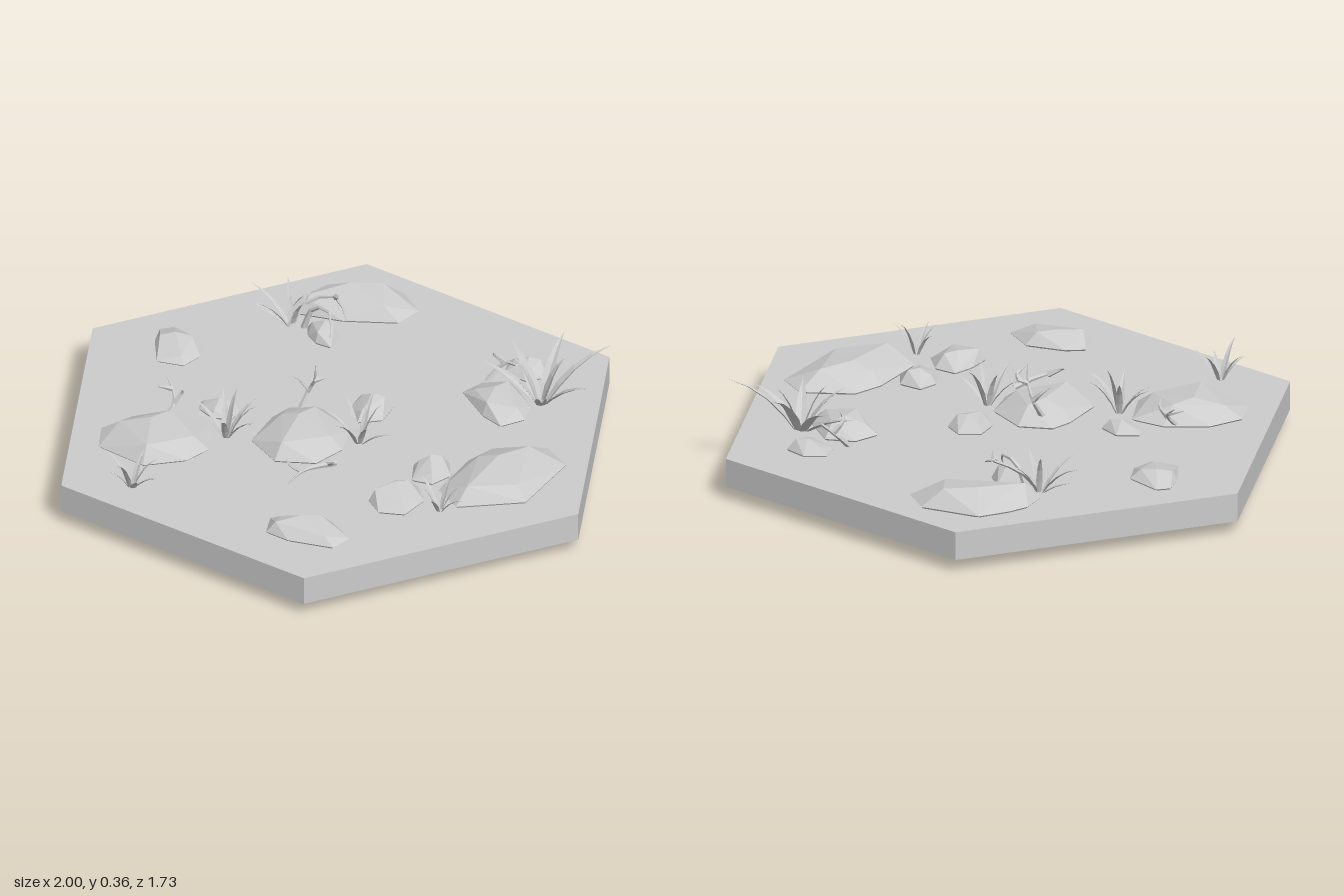
import * as THREE from 'three';
import { ConvexGeometry } from 'three/addons/geometries/ConvexGeometry.js';

const GROUND = 0.145;
const material = new THREE.MeshStandardMaterial({ color: 0xcccccc, flatShading: true, side: THREE.DoubleSide });

function add(parent, name, geometry) {
  const mesh = new THREE.Mesh(geometry, material);
  mesh.name = name;
  parent.add(mesh);
  return mesh;
}

// Faceted stone: outline [x, z, x, z, ...] at ground level, closed by smaller rings and points above and below
function rock(parent, name, top, bottom, outline) {
  const ring = [];
  for (let i = 0; i < outline.length; i += 2) ring.push(new THREE.Vector3(outline[i], GROUND + 0.006, outline[i + 1]));
  const centre = new THREE.Vector3();
  ring.forEach((p) => centre.addScaledVector(p, 1 / ring.length));
  const points = [];
  const level = (p, scale, y) => {
    const q = centre.clone().lerp(p, scale);
    q.y = y;
    points.push(q);
  };
  ring.forEach((p, i) => {
    points.push(p);
    if (i % 2 === 0) {
      level(p, 0.68 + 0.08 * Math.sin(i * 2.3), top - 0.014 - 0.008 * Math.cos(i * 1.7));
      level(p, 0.62, THREE.MathUtils.lerp(GROUND, bottom, 0.7));
    }
  });
  level(ring[1], 0.25, top);
  level(ring[ring.length - 2], 0.2, bottom);
  add(parent, name, new ConvexGeometry(points));
}

// Arched, keeled leaf from a base point to a tip
function blade(base, tip, width) {
  const control = base.clone().lerp(tip, 0.4);
  control.y = THREE.MathUtils.lerp(base.y, tip.y, 0.8);
  const curve = new THREE.QuadraticBezierCurve3(base, control, tip);
  const side = new THREE.Vector3(tip.z - base.z, 0, base.x - tip.x).normalize();
  const widths = [0.55, 1, 0.8, 0.45, 0.02];
  const pos = [], index = [];
  widths.forEach((w, i) => {
    const p = curve.getPoint(i / (widths.length - 1));
    for (const s of [-1, 0, 1]) {
      const q = p.clone().addScaledVector(side, s * w * width / 2);
      if (s === 0) q.y -= w * width * 0.25;
      pos.push(q.x, q.y, q.z);
    }
    if (i === 0) return;
    for (let k = 0; k < 2; k++) {
      const a = (i - 1) * 3 + k, b = i * 3 + k;
      index.push(a, a + 1, b, a + 1, b + 1, b);
    }
  });
  const geometry = new THREE.BufferGeometry();
  geometry.setAttribute('position', new THREE.Float32BufferAttribute(pos, 3));
  geometry.setIndex(index);
  geometry.computeVertexNormals();
  return geometry;
}

// Tuft of leaves; each tip is [x, y, z]
function tuft(parent, name, x, z, width, tips) {
  const group = new THREE.Group();
  group.name = name;
  tips.forEach(([tx, ty, tz]) => {
    const base = new THREE.Vector3(x, GROUND - 0.01, z).lerp(new THREE.Vector3(tx, GROUND - 0.01, tz), 0.06);
    add(group, 'leaf', blade(base, new THREE.Vector3(tx, ty, tz), width));
  });
  parent.add(group);
}

// Tapered bent stick, one path per branch
function twig(parent, name, radius, ...paths) {
  const group = new THREE.Group();
  group.name = name;
  paths.forEach((path) => {
    const curve = new THREE.CatmullRomCurve3(path.map((p) => new THREE.Vector3(...p)));
    const segments = 6, sides = 5;
    const geometry = new THREE.TubeGeometry(curve, segments, radius, sides);
    const p = geometry.attributes.position, v = new THREE.Vector3();
    for (let i = 0; i < p.count; i++) {
      const t = Math.floor(i / (sides + 1)) / segments;
      v.fromBufferAttribute(p, i).lerp(curve.getPointAt(t), t * 0.85);
      p.setXYZ(i, v.x, v.y, v.z);
    }
    geometry.computeVertexNormals();
    add(group, 'branch', geometry);
  });
  parent.add(group);
}

export function createModel() {
  const model = new THREE.Group();
  model.name = 'rockyGroundTile';

  // Hexagonal tile, open underneath
  const tile = new THREE.Group();
  tile.name = 'groundTile';
  add(tile, 'tileWalls', new THREE.CylinderGeometry(1, 1, 0.1, 6, 1, true, Math.PI / 2)).position.y = GROUND - 0.05;
  add(tile, 'tileTop', new THREE.CircleGeometry(1, 6).rotateX(-Math.PI / 2)).position.y = GROUND;
  model.add(tile);

  // Large stones
  const rocks = new THREE.Group();
  rocks.name = 'rocks';
  model.add(rocks);
  rock(rocks, 'backLeftRock', 0.215, 0.055, [-.53, -.62, -.48, -.72, -.28, -.78, -.18, -.72, -.19, -.62, -.35, -.52, -.53, -.46, -.55, -.55]);
  rock(rocks, 'backRightRock', 0.2, 0.06, [.24, -.39, .26, -.48, .35, -.53, .48, -.45, .51, -.37, .47, -.29, .38, -.31]);
  rock(rocks, 'rightRock', 0.212, 0.0, [.51, -.05, .53, -.16, .68, -.27, .79, -.22, .82, .05, .78, .08, .65, .21, .54, .16]);
  rock(rocks, 'centreRock', 0.208, 0.013, [-.18, .11, -.17, .03, -.07, -.03, .08, .02, .13, .14, .11, .26, -.01, .33, -.15, .27]);
  rock(rocks, 'frontLeftRock', 0.212, 0.05, [-.6, .5, -.56, .38, -.44, .28, -.32, .26, -.23, .4, -.25, .5, -.35, .61, -.54, .6]);
  rock(rocks, 'frontRightRock', 0.197, 0.085, [.19, .63, .24, .58, .37, .53, .48, .58, .47, .66, .32, .71, .23, .71]);
  rock(rocks, 'leftRock', 0.188, 0.09, [-.81, -.12, -.78, -.16, -.65, -.14, -.6, -.06, -.61, .02, -.7, .05, -.78, -.05]);

  // Small stones
  rock(rocks, 'smallBackRightRock', 0.195, 0.09, [.25, -.64, .31, -.69, .39, -.68, .41, -.63, .37, -.57, .28, -.57]);
  rock(rocks, 'smallBackLeftRock', 0.205, 0.1, [-.42, -.42, -.35, -.47, -.29, -.43, -.28, -.36, -.34, -.355, -.39, -.38]);
  rock(rocks, 'smallCentreRock', 0.2, 0.08, [-.02, -.16, .04, -.21, .11, -.18, .13, -.09, .07, -.03, 0, -.08]);
  rock(rocks, 'smallLeftRock', 0.19, 0.09, [-.43, .17, -.37, .12, -.29, .14, -.28, .2, -.34, .23, -.41, .21]);
  rock(rocks, 'smallRightRock', 0.2, 0.08, [.38, .08, .39, .01, .47, 0, .52, .06, .5, .14, .43, .16]);
  rock(rocks, 'smallRightFrontRock', 0.2, 0.07, [.38, .27, .39, .19, .47, .18, .54, .24, .54, .35, .46, .39, .39, .35]);

  // Leaf tufts
  const plants = new THREE.Group();
  plants.name = 'plants';
  model.add(plants);
  tuft(plants, 'backRightTuft', .48, -.5, .042, [[.44, .31, -.69], [.64, .335, -.68], [.67, .26, -.51], [.59, .25, -.36],
    [.29, .27, -.6], [.4, .31, -.46], [.53, .3, -.57], [.37, .29, -.4], [.25, .23, -.49]]);
  tuft(plants, 'backLeftTuft', -.48, -.41, .022, [[-.64, .26, -.4], [-.58, .23, -.33], [-.55, .27, -.28], [-.53, .29, -.46],
    [-.4, .27, -.37], [-.45, .25, -.5], [-.59, .19, -.37]]);
  tuft(plants, 'centreTuft', .14, .06, .022, [[.28, .22, .06], [.13, .3, -.05], [.23, .26, .13], [.03, .25, .1],
    [.14, .27, .19], [.2, .29, .01], [.07, .28, .03]]);
  tuft(plants, 'frontLeftTuft', -.24, .29, .024, [[-.36, .25, .3], [-.3, .28, .22], [-.23, .31, .24], [-.11, .25, .31],
    [-.18, .27, .2], [-.19, .26, .38], [-.32, .24, .35], [-.14, .28, .25]]);
  tuft(plants, 'rightTuft', .61, .25, .018, [[.71, .22, .26], [.62, .27, .18], [.52, .24, .23], [.63, .23, .34],
    [.56, .25, .3], [.68, .25, .21]]);
  tuft(plants, 'frontTuft', -.31, .73, .022, [[-.31, .25, .65], [-.19, .22, .74], [-.4, .25, .74], [-.24, .25, .68],
    [-.3, .27, .82], [-.36, .22, .8], [-.23, .21, .79]]);

  // Dry twigs
  const twigs = new THREE.Group();
  twigs.name = 'twigs';
  model.add(twigs);
  twig(twigs, 'frontTwig', .011, [[.16, .15, .22], [.14, .165, .29], [.12, .17, .35], [.12, .16, .44]],
    [[.12, .168, .35], [.08, .19, .37], [.06, .2, .36]], [[.15, .16, .25], [.18, .18, .26], [.175, .2, .3]]);
  twig(twigs, 'centreTwig', .011, [[-.11, .17, .05], [-.1, .24, .01], [-.07, .29, .02], [-.06, .355, .03]],
    [[-.1, .24, .01], [-.13, .27, .02], [-.15, .29, .04]], [[-.07, .29, .02], [-.04, .3, .0]]);
  twig(twigs, 'leftTwig', .01, [[-.47, .14, .33], [-.46, .19, .28], [-.49, .22, .25], [-.53, .25, .23]],
    [[-.46, .19, .28], [-.44, .23, .26], [-.43, .25, .28]], [[-.49, .22, .25], [-.53, .23, .28]]);
  twig(twigs, 'backLeftTwig', .012, [[-.48, .13, -.39], [-.45, .22, -.46], [-.36, .25, -.5], [-.28, .21, -.45]],
    [[-.44, .13, -.42], [-.4, .23, -.43], [-.33, .24, -.42], [-.29, .18, -.37]], [[-.36, .25, -.5], [-.33, .27, -.47]]);
  twig(twigs, 'backRightTwig', .012, [[.25, .13, -.5], [.29, .2, -.56], [.35, .21, -.55], [.37, .17, -.5]],
    [[.29, .2, -.56], [.27, .24, -.53], [.31, .25, -.5]]);

  return model;
}
